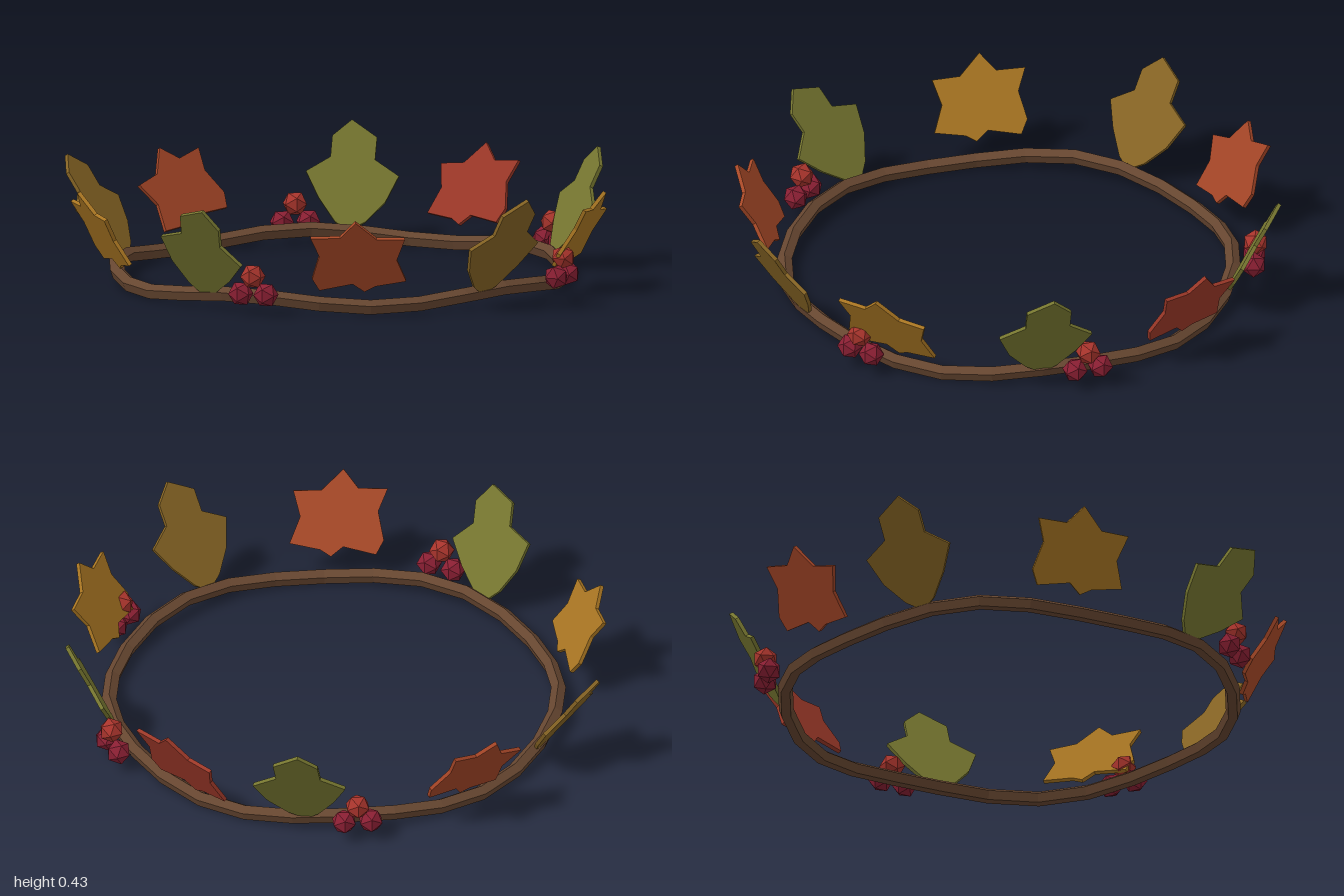
import * as THREE from 'three';

const CX = -0.02, CZ = -0.02, RING = 0.803;
const rad = THREE.MathUtils.degToRad;
const mat = (color) => new THREE.MeshStandardMaterial({ color, flatShading: true });

// Leaf outlines: tall ones start at the stem, star ones are centred
const TALL = [[0, 0], [0.05, 0.035], [0.115, 0.12], [0.168, 0.215], [0.085, 0.275], [0.085, 0.355], [0.02, 0.42],
  [-0.075, 0.36], [-0.075, 0.275], [-0.165, 0.22], [-0.125, 0.12], [-0.06, 0.04]];
const STAR = [[0, 0.172], [0.07, 0.088], [0.17, 0.075], [0.135, -0.015], [0.162, -0.115], [0.05, -0.125],
  [0.01, -0.145], [-0.03, -0.105], [-0.15, -0.12], [-0.172, -0.065], [-0.14, 0.035], [-0.165, 0.12], [-0.06, 0.11]];

function leafGeometry(points) {
  const shape = new THREE.Shape(points.map(([x, y]) => new THREE.Vector2(x, y)));
  const geo = new THREE.ExtrudeGeometry(shape, { depth: 0.014, bevelEnabled: false });
  return geo.translate(0, 0, -0.007);
}

// Places an object on the circle, its local +z facing outward
function placeOnRing(obj, deg, r, y) {
  const a = rad(deg);
  obj.position.set(CX + r * Math.cos(a), y, CZ + r * Math.sin(a));
  obj.rotation.order = 'YXZ';
  obj.rotation.y = Math.PI / 2 - a;
  return obj;
}

export function createModel() {
  const model = new THREE.Group();
  model.name = 'leafCrown';

  // Wavy twig ring
  const path = [];
  for (let i = 0; i < 28; i++) {
    const a = (i / 28) * Math.PI * 2;
    path.push(new THREE.Vector3(CX + RING * Math.cos(a), 0.045 + 0.017 * Math.cos(5 * a), CZ + RING * Math.sin(a)));
  }
  const curve = new THREE.CatmullRomCurve3(path, true);
  const ring = new THREE.Mesh(new THREE.TubeGeometry(curve, 28, 0.028, 5, true), mat(0x664630));
  ring.name = 'twigRing';
  model.add(ring);

  // Leaves: angle, outline, colour, outward tilt, roll, extra turn (degrees)
  const tall = leafGeometry(TALL), star = leafGeometry(STAR);
  const green = 0x767630, brown = 0x866424, ochre = 0xa87522;
  const leaves = [
    [83, tall, green, 31, -17, 0],
    [42, star, 0xaa4a28, 30, 6, 0],
    [7.5, tall, brown, 31, 0, -5],
    [-27, star, ochre, 30, 0, 0],
    [-64, tall, green, 26, 0, 0],
    [-102, star, 0x9c3828, 28, 0, 6],
    [-132, tall, green, 27, 4, 0],
    [-173, star, 0xa24426, 30, -12, 0],
    [156, tall, brown, 34, 0, 6],
    [117.5, star, ochre, 29, 3, 0],
  ];
  for (const [deg, geo, color, tilt, roll, turn] of leaves) {
    const isTall = geo === tall;
    const leaf = new THREE.Mesh(geo, mat(color));
    placeOnRing(leaf, deg, isTall ? 0.807 : 0.9, isTall ? 0.052 : 0.218);
    leaf.rotation.x = rad(tilt);
    leaf.rotation.y -= rad(turn);
    leaf.rotation.z = rad(roll);
    leaf.name = isTall ? 'tallLeaf' : 'starLeaf';
    model.add(leaf);
  }

  // Berry clusters of three
  const berryGeo = new THREE.IcosahedronGeometry(0.046, 0);
  const berryMats = [mat(0x8a1f33), mat(0x8a1f33), mat(0xa8342c)];
  const offsets = [[-0.048, 0.08, 0], [0.048, 0.08, 0], [0, 0.145, 0.005]];
  for (const deg of [67, -18.5, -74.5, -144.5]) {
    const cluster = placeOnRing(new THREE.Group(), deg, 0.875, 0);
    cluster.name = 'berryCluster';
    offsets.forEach((p, i) => {
      const berry = new THREE.Mesh(berryGeo, berryMats[i]);
      berry.position.set(...p);
      berry.name = 'berry';
      cluster.add(berry);
    });
    model.add(cluster);
  }
  return model;
}
